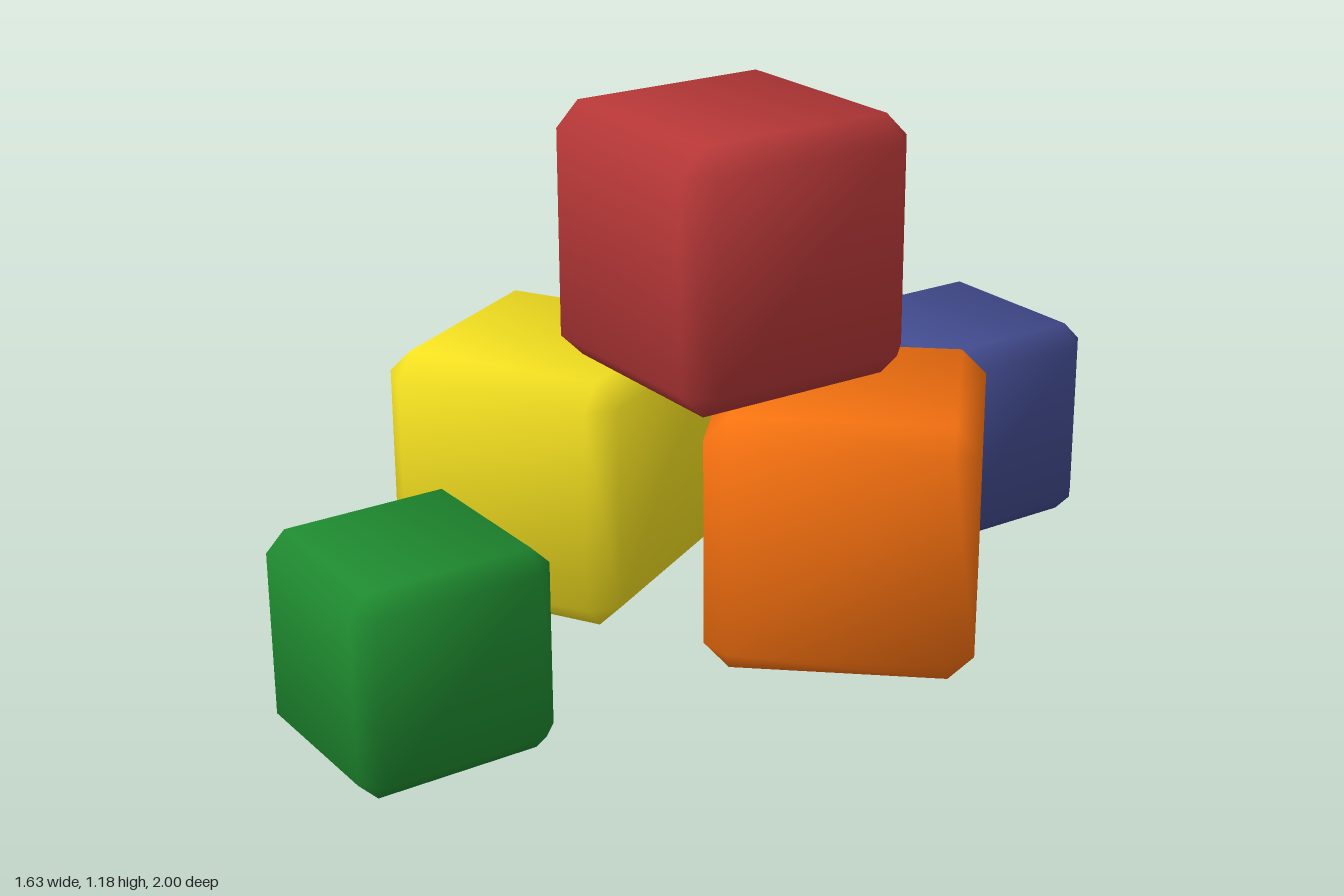
import * as THREE from 'three';
import { ConvexGeometry } from 'three/addons/geometries/ConvexGeometry.js';

// Unit cube with chamfered edges and corners, shaded softly across the bevels
function chamferedCube(bevel) {
  const inner = 0.5 - bevel;
  const points = [];
  for (const x of [-1, 1]) for (const y of [-1, 1]) for (const z of [-1, 1]) {
    for (let axis = 0; axis < 3; axis++) {
      const p = new THREE.Vector3(x, y, z).multiplyScalar(inner);
      p.setComponent(axis, Math.sign(p.getComponent(axis)) * 0.5);
      points.push(p);
    }
  }
  const geometry = new ConvexGeometry(points);
  // Each corner point leans from its own face towards the two neighbouring faces
  const pos = geometry.attributes.position;
  const v = new THREE.Vector3();
  for (let i = 0; i < pos.count; i++) {
    v.fromBufferAttribute(pos, i);
    const n = v.toArray().map((c) => Math.sign(c) * (Math.abs(c) > 0.48 ? 0.87 : 0.35));
    v.fromArray(n).normalize();
    geometry.attributes.normal.setXYZ(i, v.x, v.y, v.z);
  }
  return geometry;
}

// name, colour, size, centre, turn about y in degrees
const BLOCKS = [
  ['redBlock', 0xb93838, 0.583, [0.033, 0.893, -0.002], 41.7],
  ['orangeBlock', 0xf97210, 0.583, [0.304, 0.309, 0.083], 0],
  ['yellowBlock', 0xf4e020, 0.583, [-0.394, 0.3, -0.17], -18.8],
  ['greenBlock', 0x1f8c30, 0.443, [-0.532, 0.248, 0.717], 41.7],
  ['blueBlock', 0x434c90, 0.49, [0.5, 0.246, -0.688], 41.7],
];

export function createModel() {
  const group = new THREE.Group();
  group.name = 'toyBlocks';
  const geometry = chamferedCube(0.095);
  for (const [name, color, size, centre, turn] of BLOCKS) {
    const block = new THREE.Mesh(geometry, new THREE.MeshStandardMaterial({ color }));
    block.name = name;
    block.scale.setScalar(size);
    block.position.set(...centre);
    block.rotation.y = THREE.MathUtils.degToRad(turn);
    group.add(block);
  }
  return group;
}
